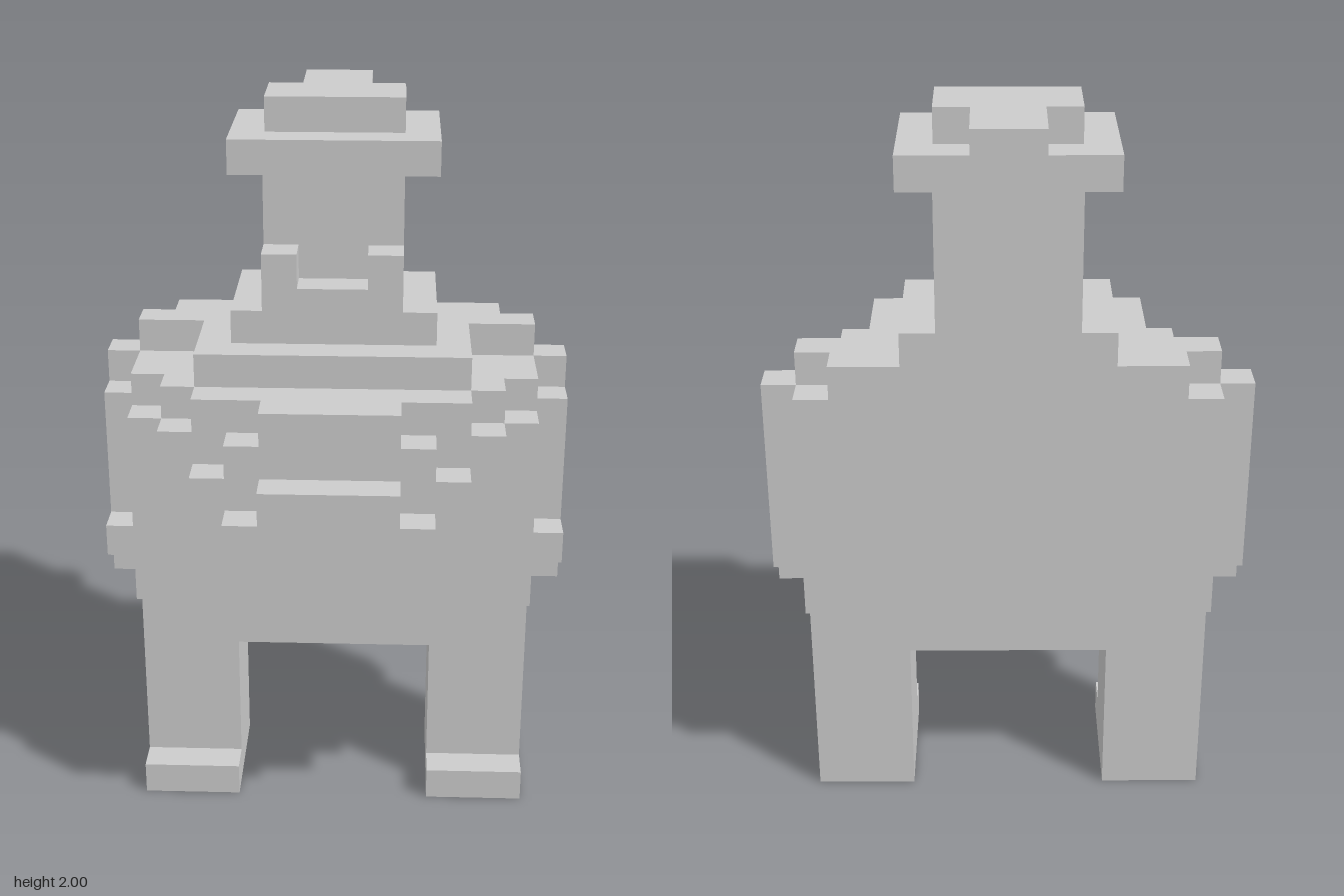
import * as THREE from 'three';

const U = 1 / 11; // one block of the grid
const material = new THREE.MeshStandardMaterial({ color: 0xcccccc, flatShading: true });

// Box spanning block coordinates x0..x1, y0..y1, z0..z1
function block(parent, name, x0, x1, y0, y1, z0, z1) {
  const geo = new THREE.BoxGeometry((x1 - x0) * U, (y1 - y0) * U, (z1 - z0) * U);
  const mesh = new THREE.Mesh(geo, material);
  mesh.name = name;
  mesh.position.set((x0 + x1) / 2 * U, (y0 + y1) / 2 * U, (z0 + z1) / 2 * U);
  parent.add(mesh);
}

// Box centred on x = 0 with the given half width
const centred = (parent, name, half, ...rest) => block(parent, name, -half, half, ...rest);

// Matching boxes on the left (+x) and right (-x)
function pair(parent, name, x0, x1, ...rest) {
  block(parent, name + 'Left', x0, x1, ...rest);
  block(parent, name + 'Right', -x1, -x0, ...rest);
}

function part(root, name) {
  const g = new THREE.Group();
  g.name = name;
  root.add(g);
  return g;
}

export function createModel() {
  const model = new THREE.Group();
  model.name = 'blockFigure';

  // Legs, feet and hips
  const legs = part(model, 'legs');
  pair(legs, 'leg', 3, 6, 0, 5, -2.5, 0.5);
  pair(legs, 'toe', 3, 6, 0, 1, 0.5, 1.5);
  centred(legs, 'hips', 6, 5, 7, -2.5, 0.5);

  // Torso, stepping inward towards the front: [half width, y0, y1, z0, z1]
  const torso = part(model, 'torso');
  [
    [6, 7, 14, -3.5, 0.5],
    [6, 7, 13, 0.5, 1.5], [5, 13, 14, 0.5, 1.5],
    [5, 7, 13, 1.5, 2.5], [4, 13, 14, 1.5, 2.5],
    [4, 7, 12, 2.5, 3.5], [3, 12, 13, 2.5, 3.5], [2, 13, 14, 2.5, 3.5],
  ].forEach((row) => centred(torso, 'torsoStep', ...row));

  // Belly plate
  centred(torso, 'bellyPlate', 3, 8, 11, 3.5, 4.5);
  centred(torso, 'bellyPlateTop', 2, 11, 12, 3.5, 4.5);

  // Shoulders and collar
  const shoulders = part(model, 'shoulders');
  centred(shoulders, 'upperChest', 4, 14, 15, -3.5, 1.5);
  pair(shoulders, 'shoulderInner', 4, 5, 14, 15, -3.5, -1.5);
  pair(shoulders, 'shoulderOuter', 5, 6, 14, 15, -2.5, -1.5);
  centred(shoulders, 'collar', 3, 15, 16, -3.5, 0.5);

  // Arms with a small hand
  const arms = part(model, 'arms');
  pair(arms, 'armBack', 6, 7, 8, 14, -2.5, -1.5);
  pair(arms, 'armFront', 6, 7, 7, 13, -1.5, -0.5);
  pair(arms, 'thumb', 6, 7, 8, 9, -0.5, 0.5);

  // Head and beard
  const head = part(model, 'head');
  centred(head, 'skull', 2, 16, 20, -3.5, 0.5);
  centred(head, 'beard', 2, 16, 17, 0.5, 1.5);
  pair(head, 'beardSide', 1, 2, 17, 18, 0.5, 1.5);

  // Brim, crown and the tail hanging behind
  const hat = part(model, 'hat');
  centred(hat, 'brim', 3, 20, 21, -3.5, 0.5);
  centred(hat, 'crown', 2, 21, 22, -2.5, -0.5);
  centred(hat, 'tailTop', 1, 21, 22, -3.5, -2.5);
  centred(hat, 'tail', 1, 18, 22, -4.5, -3.5);

  return model;
}
